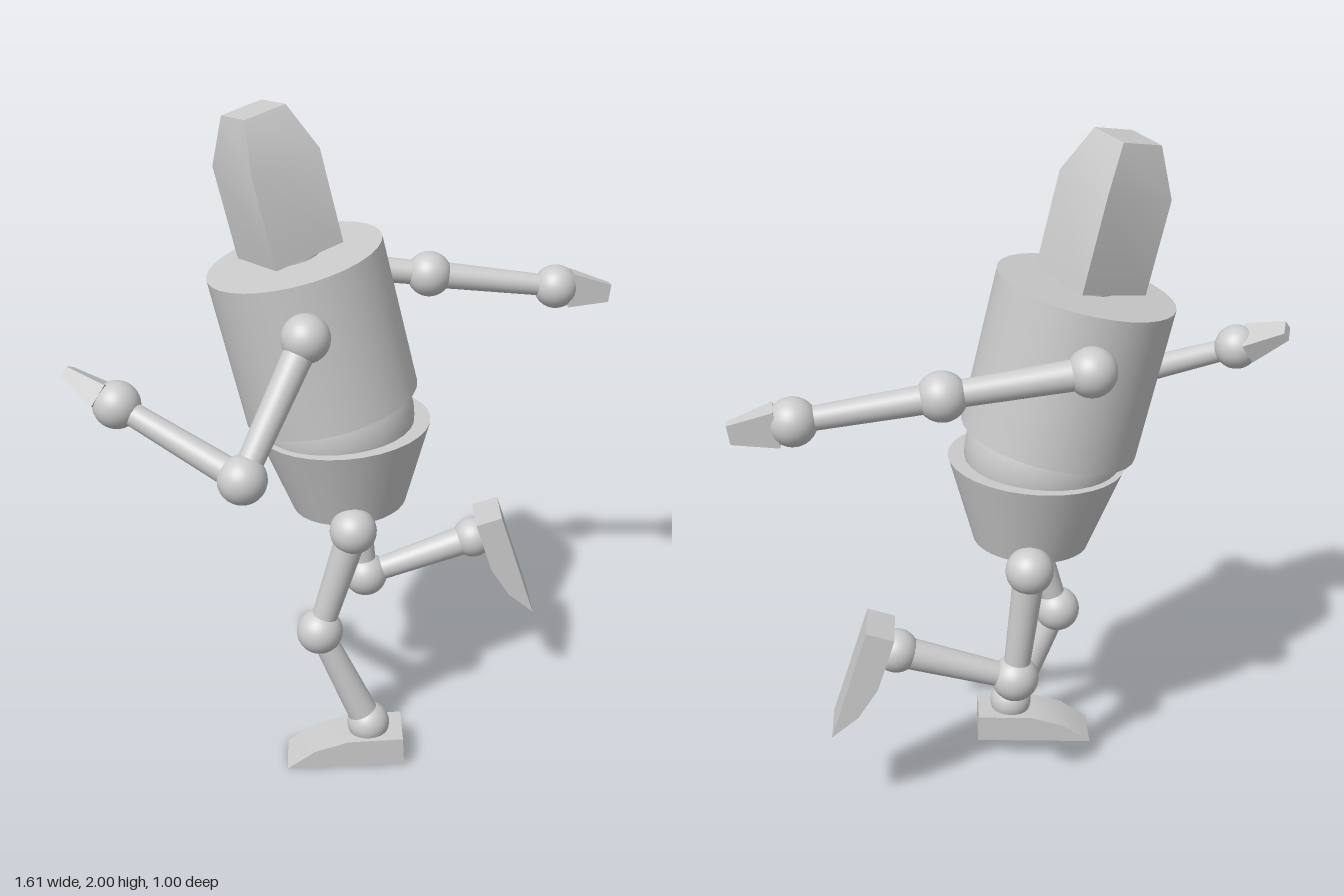
import * as THREE from 'three';
import { toCreasedNormals } from 'three/addons/utils/BufferGeometryUtils.js';

const material = new THREE.MeshStandardMaterial({ color: 0xcccccc });
const UP = new THREE.Vector3(0, 1, 0);
const V = (p) => new THREE.Vector3(...p);

function add(parent, name, geometry, position = [0, 0, 0]) {
  const mesh = new THREE.Mesh(geometry, material);
  mesh.name = name;
  mesh.position.set(...position);
  parent.add(mesh);
  return mesh;
}

const ball = (parent, name, p, r) => add(parent, name, new THREE.SphereGeometry(r, 32, 20), p);

// Stretch a mesh built along y from point a to point b
function span(parent, name, geometry, a, b) {
  const mesh = add(parent, name, geometry);
  mesh.position.addVectors(V(a), V(b)).multiplyScalar(0.5);
  mesh.quaternion.setFromUnitVectors(UP, V(b).sub(V(a)).normalize());
  return mesh;
}

// Tapered round bar, rA at a and rB at b
function bar(parent, name, a, b, rA, rB) {
  const length = V(a).distanceTo(V(b));
  return span(parent, name, new THREE.CylinderGeometry(rB, rA, length, 32), a, b);
}

// Box that narrows towards its top; base and tip are [x, z] widths
function taperedBox(base, tip, length) {
  const g = new THREE.BoxGeometry(base[0], length, base[1]);
  const p = g.attributes.position;
  for (let i = 0; i < p.count; i++) {
    if (p.getY(i) > 0) {
      p.setX(i, Math.sign(p.getX(i)) * tip[0] / 2);
      p.setZ(i, Math.sign(p.getZ(i)) * tip[1] / 2);
    }
  }
  return toCreasedNormals(g, 0.4);
}

// Arm: shoulder, elbow and wrist balls, two bars and a wedge hand
function arm(parent, name, [shoulder, elbow, wrist, tip], base, end) {
  const g = new THREE.Group();
  g.name = name;
  parent.add(g);
  ball(g, 'shoulder', shoulder, 0.069);
  ball(g, 'elbow', elbow, 0.069);
  ball(g, 'wrist', wrist, 0.067);
  bar(g, 'upperArm', shoulder, elbow, 0.044, 0.036);
  bar(g, 'forearm', elbow, wrist, 0.041, 0.032);
  const start = V(wrist).lerp(V(tip), 0.25).toArray();
  span(g, 'hand', taperedBox(base, end, V(start).distanceTo(V(tip))), start, tip);
}

// Leg: hip, knee and ankle balls, two bars and a wedge foot
function leg(parent, name, [hip, knee, ankle], heel, footAngle) {
  const g = new THREE.Group();
  g.name = name;
  parent.add(g);
  ball(g, 'hip', hip, 0.069);
  ball(g, 'knee', knee, 0.069);
  ball(g, 'ankle', ankle, 0.064);
  bar(g, 'thigh', hip, knee, 0.046, 0.037);
  bar(g, 'shin', knee, ankle, 0.035, 0.047);
  const profile = [[0, 0], [0, 0.083], [-0.165, 0.083], [-0.27, 0.055], [-0.355, 0]];
  const shape = new THREE.Shape(profile.map(([x, y]) => new THREE.Vector2(x, y)));
  const foot = new THREE.ExtrudeGeometry(shape, { depth: 0.152, bevelEnabled: false });
  foot.translate(0, 0, -0.076);
  add(g, 'foot', toCreasedNormals(foot, 0.45), heel).rotation.z = footAngle;
}

// Square head: straight sides, then a narrowing crown
function headGeometry() {
  const levels = [[0.158, 0.02], [0.158, 0.297], [0.094, 0.434]];
  const profile = [[0, 0.02], ...levels, [0, 0.434]].map(([r, y]) => new THREE.Vector2(r, y));
  const g = new THREE.LatheGeometry(profile, 4);
  g.rotateY(-0.24);
  return toCreasedNormals(g, 0.45);
}

export function createModel() {
  const model = new THREE.Group();
  model.name = 'runningFigure';

  // Leaning upper body, origin at the centre of the chest top
  const upper = new THREE.Group();
  upper.name = 'upperBody';
  upper.position.set(-0.17, 1.558, -0.061);
  upper.rotation.z = 0.231;
  model.add(upper);
  add(upper, 'chest', new THREE.CylinderGeometry(0.257, 0.257, 0.457, 32), [0, -0.2285, 0]);
  add(upper, 'neck', new THREE.CylinderGeometry(0.075, 0.075, 0.06, 32), [0, 0.005, 0]);
  add(upper, 'head', headGeometry(), [-0.006, 0, 0]);

  // Waist and pelvis
  ball(model, 'waist', [-0.048, 1.065, -0.061], 0.226);
  bar(model, 'pelvis', [-0.0135, 0.787, -0.061], [-0.031, 1.041, -0.061], 0.169, 0.257);

  arm(model, 'frontArm',
    [[-0.14, 1.43, 0.247], [-0.315, 1.097, 0.43], [-0.657, 1.25, 0.265], [-0.795, 1.322, 0.198]],
    [0.07, 0.105], [0.03, 0.055]);
  arm(model, 'rearArm',
    [[-0.157, 1.43, -0.388], [0.24, 1.378, -0.408], [0.632, 1.325, -0.431], [0.8, 1.3, -0.441]],
    [0.105, 0.075], [0.055, 0.028]);

  leg(model, 'frontLeg',
    [[-0.008, 0.779, 0.128], [-0.108, 0.443, 0.128], [0.038, 0.117, 0.128]],
    [0.145, 0.017, 0.127], 0.048);
  leg(model, 'rearLeg',
    [[0.0, 0.779, -0.26], [0.042, 0.424, -0.252], [0.385, 0.54, -0.275]],
    [0.467, 0.64, -0.279], 1.886);

  return model;
}
